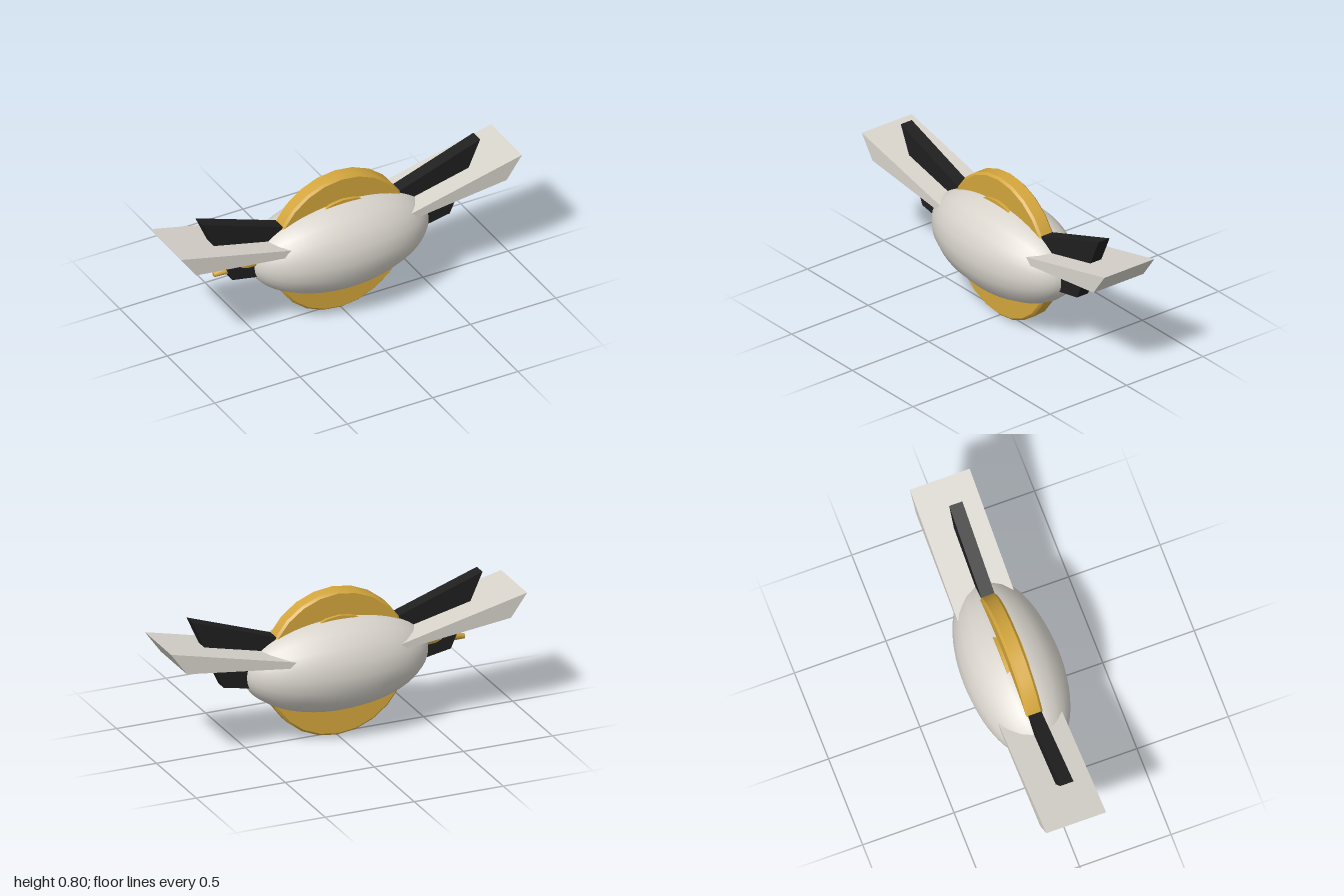
import * as THREE from 'three';
import { toCreasedNormals } from 'three/addons/utils/BufferGeometryUtils.js';

const material = (name, color) => {
  const m = new THREE.MeshStandardMaterial({ color });
  m.name = name;
  return m;
};

export function createModel() {
  const shell = material('pale grey shell', 0xd8d4cc);
  const gold = material('gold', 0xd4a63c);
  const black = material('black', 0x1f1f1f);

  const model = new THREE.Group();
  model.name = 'wingedPod';
  const centreY = 0.4;

  const add = (name, geometry, mat) => {
    const mesh = new THREE.Mesh(geometry, mat);
    mesh.name = name;
    model.add(mesh);
    return mesh;
  };

  // Slab with an outline in x and y, running from z0 to z1
  const slab = (points, z0, z1) => {
    const shape = new THREE.Shape(points.map(([x, y]) => new THREE.Vector2(x, y)));
    return new THREE.ExtrudeGeometry(shape, { depth: z1 - z0, bevelEnabled: false }).translate(0, 0, z0);
  };

  // Egg-shaped body, lying along x
  const body = new THREE.SphereGeometry(1, 20, 32).rotateZ(Math.PI / 2).scale(0.513, 0.26, 0.26);
  add('body', body, shell).position.y = centreY + 0.003;

  // Upright wheel with bevelled rims
  const rim = [[0, -0.045], [0.388, -0.045], [0.4, -0.033], [0.4, 0.033], [0.388, 0.045], [0, 0.045]];
  const wheel = new THREE.LatheGeometry(rim.map(([r, y]) => new THREE.Vector2(r, y)), 24).rotateX(Math.PI / 2);
  add('wheel', toCreasedNormals(wheel, 0.5), gold).position.y = centreY;

  // Hub, slightly thicker than the wheel
  const hub = new THREE.CylinderGeometry(0.27, 0.27, 0.125, 24).rotateX(Math.PI / 2);
  add('hub', hub, gold).position.y = centreY + 0.002;

  // Swept wings and dark fins on both sides
  const wing = [[0.15, 0.475], [0.15, 0.458], [0.91, 0.55], [1, 0.674]];
  const fin = [[0.25, 0.57], [0.3, 0.307], [0.637, 0.37], [0.815, 0.766]];
  for (const [side, s] of [['left', 1], ['right', -1]]) {
    const mirror = (points) => points.map(([x, y]) => [s * x, y]);
    add(side + 'Wing', slab(mirror(wing), -0.182, 0.145), shell);
    add(side + 'Fin', slab(mirror(fin), -0.036, 0.036), black);
  }

  // Tapered spike on the right end
  const from = new THREE.Vector3(-0.4, 0.459, 0);
  const to = new THREE.Vector3(-0.728, 0.411, 0);
  const direction = to.clone().sub(from);
  const spike = add('spike', new THREE.CylinderGeometry(0.013, 0.067, direction.length(), 12), gold);
  spike.position.copy(from).add(to).multiplyScalar(0.5);
  spike.quaternion.setFromUnitVectors(new THREE.Vector3(0, 1, 0), direction.normalize());

  return model;
}
